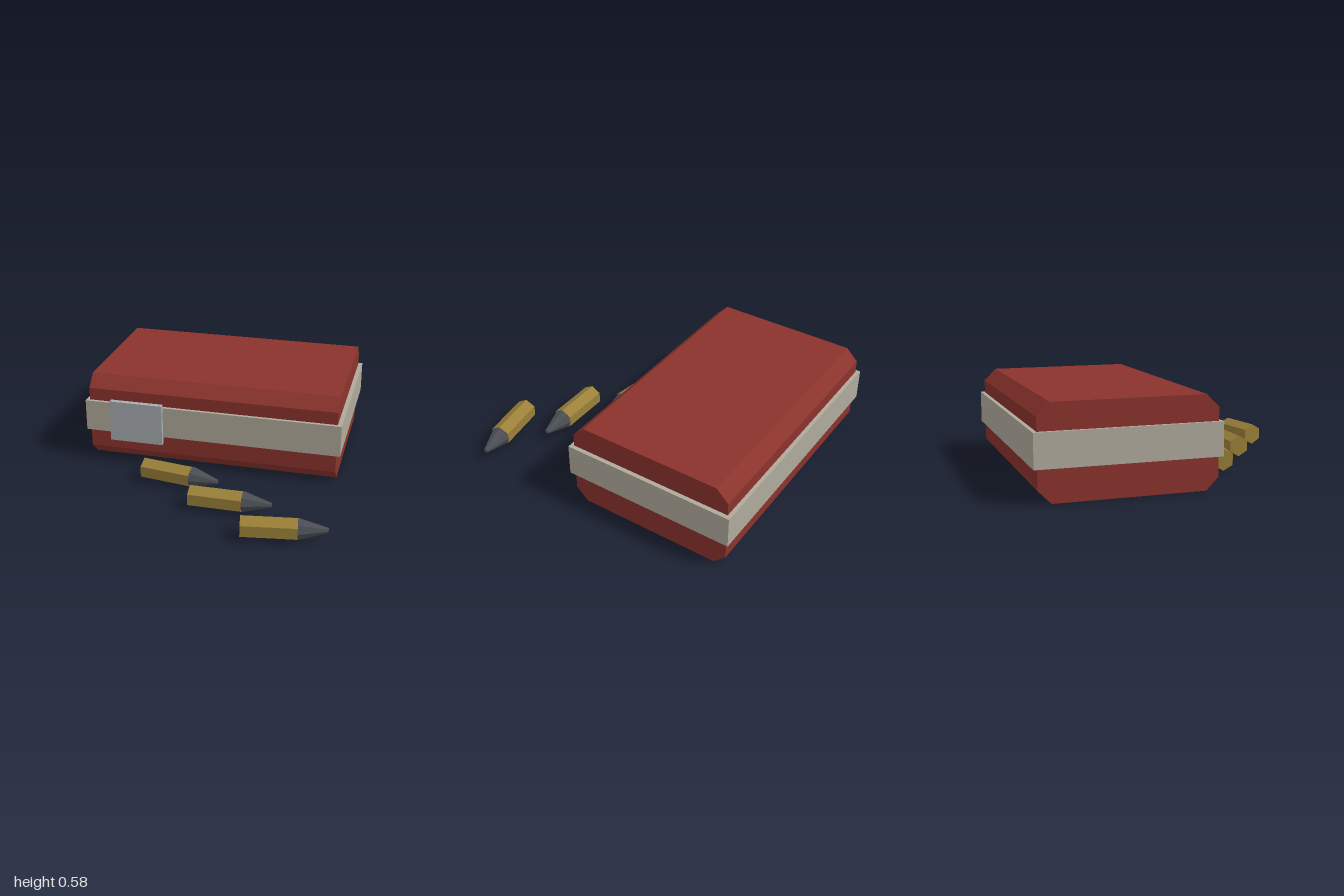
import * as THREE from 'three';

const material = (color) => new THREE.MeshStandardMaterial({ color, flatShading: true });
const RED = material(0x8b332d);
const BAND = material(0xb0aa9c);
const STEEL = material(0xa8acb0);
const BRASS = material(0x9a8038);
const LEAD = material(0x4a4d52);

function addMesh(parent, name, geometry, mat) {
  const mesh = new THREE.Mesh(geometry, mat);
  mesh.name = name;
  parent.add(mesh);
  return mesh;
}

// Box given by its two opposite corners
function addBox(parent, name, min, max, mat) {
  const size = max.map((v, i) => v - min[i]);
  const mesh = addMesh(parent, name, new THREE.BoxGeometry(...size), mat);
  mesh.position.set(...max.map((v, i) => (v + min[i]) / 2));
}

// Case body: rectangle with cut corners, extruded along x
function caseGeometry(x0, x1, z0, z1, height, cut) {
  const shape = new THREE.Shape([
    [-z1 + cut, 0], [-z0 - cut, 0], [-z0, cut], [-z0, height - cut],
    [-z0 - cut, height], [-z1 + cut, height], [-z1, height - cut], [-z1, cut],
  ].map(([x, y]) => new THREE.Vector2(x, y)));
  const geometry = new THREE.ExtrudeGeometry(shape, { depth: x1 - x0, bevelEnabled: false });
  return geometry.rotateY(Math.PI / 2).translate(x0, 0, 0);
}

// Faceted round section lying along +x, with a ridge on top
function barGeometry(rBack, rFront, x0, x1, sides) {
  return new THREE.CylinderGeometry(rFront, rBack, x1 - x0, sides)
    .rotateY(Math.PI / 2)
    .rotateZ(-Math.PI / 2)
    .translate((x0 + x1) / 2, 0, 0);
}

// Cartridge: six-sided casing and a tapered tip, centred on its length
function createCartridge() {
  const group = new THREE.Group();
  addMesh(group, 'casing', barGeometry(0.073, 0.073, -0.26, 0.08, 6), BRASS);
  addMesh(group, 'tip', barGeometry(0.068, 0.015, 0.08, 0.26, 8), LEAD);
  return group;
}

export function createModel() {
  const model = new THREE.Group();
  model.name = 'ammunitionCase';

  addMesh(model, 'caseBody', caseGeometry(-0.865, 0.82, -0.975, 0.13, 0.585, 0.08), RED);
  addBox(model, 'band', [-0.888, 0.207, -1], [0.848, 0.42, 0.153], BAND);
  addBox(model, 'latch', [-0.708, 0.16, 0.145], [-0.345, 0.442, 0.18], STEEL);

  // Three loose cartridges in front of the case: x, z, turn
  [[-0.152, 0.4, -0.15], [0.24, 0.648, 0], [0.626, 0.895, 0.15]].forEach(([x, z, turn], i) => {
    const cartridge = createCartridge();
    cartridge.name = `cartridge${i + 1}`;
    cartridge.position.set(x, 0.075, z);
    cartridge.rotation.y = turn;
    model.add(cartridge);
  });

  return model;
}
